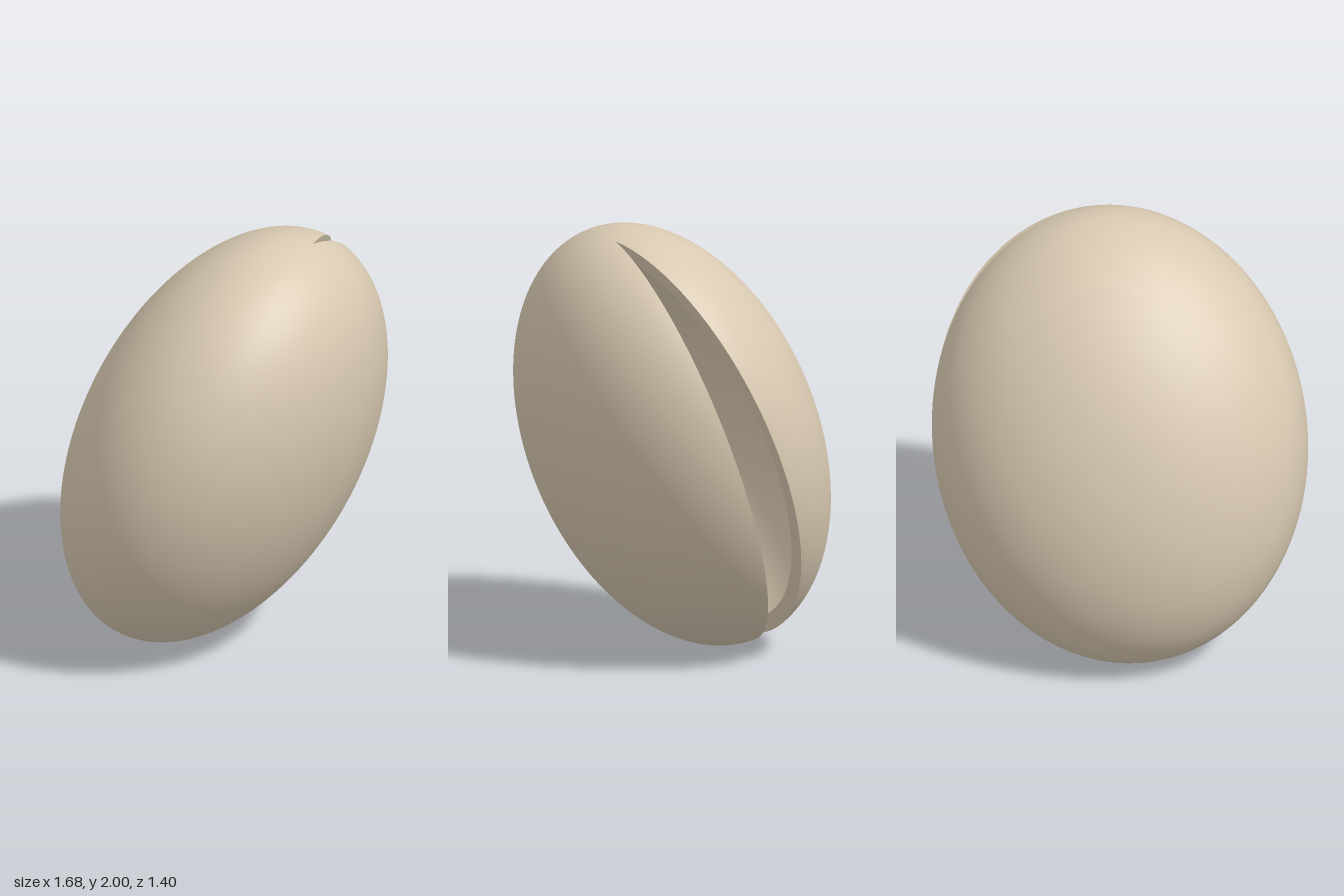
import * as THREE from 'three';

const GAP = THREE.MathUtils.degToRad(10); // half the opening angle of the slit
const INNER = 0.925;                      // inner wall size relative to the outer

export function createModel() {
  const group = new THREE.Group();
  group.name = 'splitShell';
  const beige = new THREE.MeshStandardMaterial({ color: 0xd8c9b1, side: THREE.DoubleSide });
  beige.name = 'beige';

  // Tilted ellipsoid frame: slit faces along local x, poles lie on local y
  const long = new THREE.Vector3(0.264, 0.924, 0.277).normalize();
  const flat = new THREE.Vector3(0.901, -0.133, -0.413).cross(long).normalize();
  const mid = long.clone().cross(flat);
  const frame = new THREE.Matrix4()
    .makeBasis(mid, long, flat)
    .scale(new THREE.Vector3(0.849, 1.049, 0.613))
    .setPosition(0, 1, 0);

  const add = (name, geometry) => {
    const mesh = new THREE.Mesh(geometry.applyMatrix4(frame), beige);
    mesh.name = name;
    group.add(mesh);
  };

  // Outer and inner walls, both open along the slit
  const wall = (radius) =>
    new THREE.SphereGeometry(radius, 128, 80, Math.PI + GAP, 2 * (Math.PI - GAP));
  add('outerShell', wall(1));
  const inner = wall(INNER);
  const index = inner.index.array;
  for (let i = 0; i < index.length; i += 3) {
    [index[i], index[i + 1]] = [index[i + 1], index[i]];
  }
  const normal = inner.attributes.normal;
  for (let i = 0; i < normal.count; i++) {
    normal.setXYZ(i, -normal.getX(i), -normal.getY(i), -normal.getZ(i));
  }
  add('innerShell', inner);

  // Flat rims joining the walls on each side of the slit
  for (const [name, side] of [['frontRim', 1], ['rearRim', -1]]) {
    const rim = new THREE.RingGeometry(INNER, 1, 80, 1, -Math.PI / 2, Math.PI);
    add(name, rim.rotateY(side * GAP));
  }
  return group;
}
